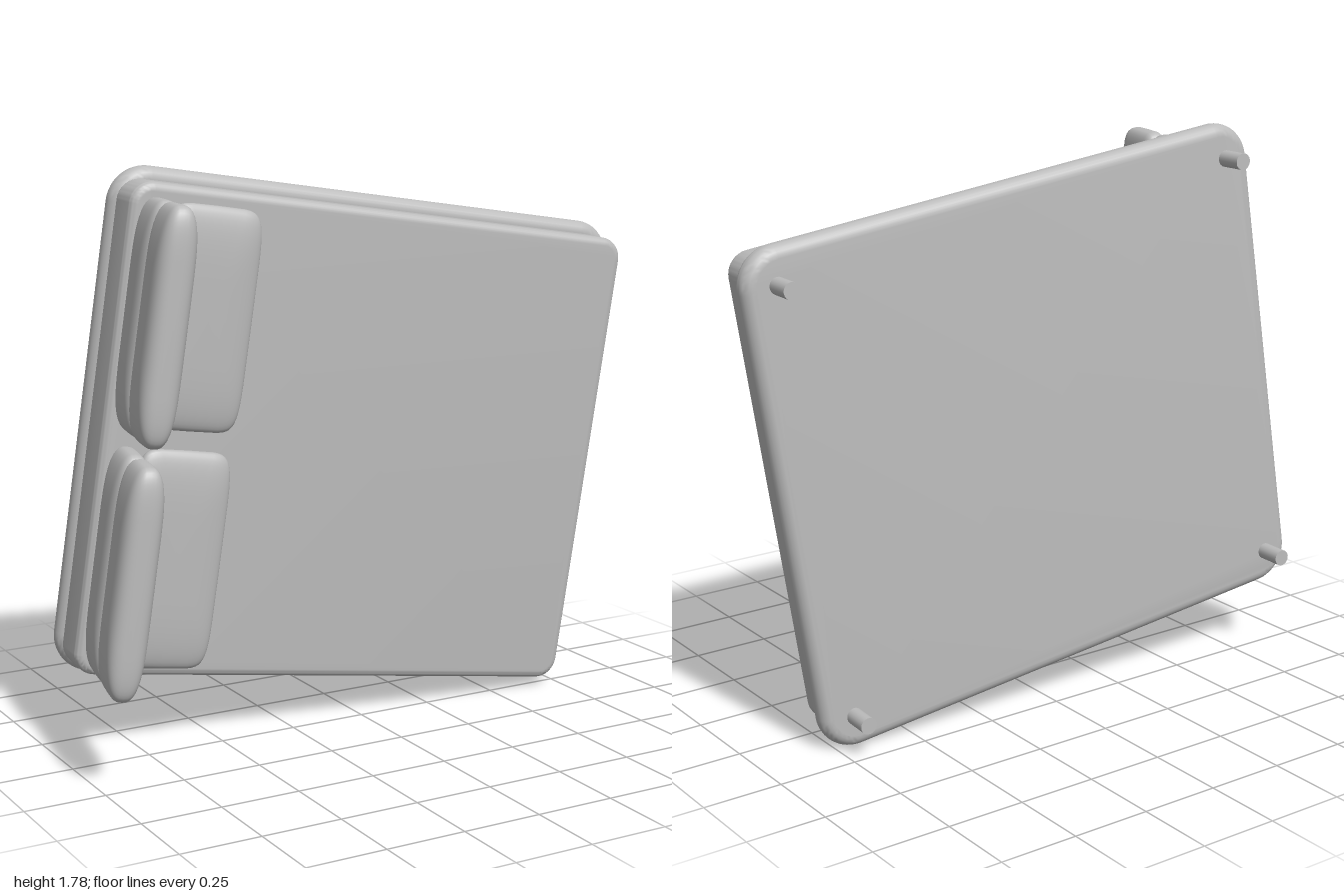
import * as THREE from 'three';
import { mergeVertices, toCreasedNormals } from 'three/addons/utils/BufferGeometryUtils.js';

const grey = new THREE.MeshStandardMaterial({ color: 0xbcbcbc });
grey.name = 'plain grey';

// Rounded rectangle slab from z0 to z1 with round edges
function slab(x0, x1, y0, y1, z0, z1, corner, edge) {
  const a = x0 + edge, b = x1 - edge, c = y0 + edge, d = y1 - edge, r = corner - edge;
  const s = new THREE.Shape();
  s.moveTo(a + r, c);
  s.lineTo(b - r, c);
  s.absarc(b - r, c + r, r, -Math.PI / 2, 0);
  s.absarc(b - r, d - r, r, 0, Math.PI / 2);
  s.absarc(a + r, d - r, r, Math.PI / 2, Math.PI);
  s.absarc(a + r, c + r, r, Math.PI, Math.PI * 1.5);
  let g = new THREE.ExtrudeGeometry(s, {
    depth: z1 - z0 - 2 * edge, bevelThickness: edge, bevelSize: edge,
    bevelSegments: 6, curveSegments: 8,
  });
  g.translate(0, 0, z0 + edge);
  g.deleteAttribute('uv');
  g.deleteAttribute('normal');
  g = mergeVertices(g, 1e-4);
  return toCreasedNormals(g, 0.6);
}

// Soft cushion: a sphere squared off by powers, thin along its own y axis
function cushion(width, thick, length, eThick = 0.5, ePlan = 0.28) {
  const g = new THREE.SphereGeometry(1, 48, 24);
  const p = g.attributes.position;
  const pow = (t, e) => (Math.abs(t) < 1e-6 ? 0 : Math.sign(t) * Math.abs(t) ** e);
  for (let i = 0; i < p.count; i++) {
    const x = p.getX(i), y = p.getY(i), z = p.getZ(i);
    const r = Math.hypot(x, z), k = r < 1e-6 ? 0 : r ** eThick;
    const cx = r < 1e-6 ? 0 : pow(x / r, ePlan), cz = r < 1e-6 ? 0 : pow(z / r, ePlan);
    p.setXYZ(i, cx * k * width / 2, pow(y, 0.75) * thick / 2, cz * k * length / 2);
  }
  g.computeVertexNormals();
  return g;
}

export function createModel() {
  const model = new THREE.Group();
  model.name = 'bed';
  // Bed built with head at -x, width along y, top towards +z, then tilted as a whole
  const add = (name, geometry, x = 0, y = 0, z = 0) => {
    const m = new THREE.Mesh(geometry, grey);
    m.name = name;
    m.position.set(x, y, z);
    model.add(m);
    return m;
  };

  add('bedFrame', slab(-0.867, 0.907, -0.782, 0.786, -0.04, 0.04, 0.12, 0.037));
  add('mattress', slab(-0.855, 0.862, -0.75, 0.746, 0.03, 0.18, 0.07, 0.025));

  // Four short legs
  for (const sx of [-1, 1]) for (const sy of [-1, 1]) {
    const leg = add('leg', new THREE.CylinderGeometry(0.026, 0.026, 0.11, 20),
      0.015 + sx * 0.787, sy * 0.675, -0.075);
    leg.rotation.x = Math.PI / 2;
  }

  // Two sets of one flat pillow and one folded back cushion
  for (const y of [0.36, -0.378]) {
    const flat = add('flatPillow', cushion(0.305, 0.075, 0.68), -0.591, y, 0.198);
    flat.rotation.x = Math.PI / 2;

    const back = new THREE.Group();
    back.name = 'backCushion';
    back.position.set(-0.812, y, 0.375);
    back.rotation.y = -0.14;
    for (const [name, z, depth] of [['frontLobe', 0.095, 0.205], ['rearLobe', -0.1, 0.21]]) {
      const lobe = new THREE.Mesh(cushion(depth, 0.12, 0.69), grey);
      lobe.name = name;
      lobe.position.z = z;
      // thin axis to x, width to z, length to y
      lobe.quaternion.setFromRotationMatrix(new THREE.Matrix4().makeBasis(
        new THREE.Vector3(0, 0, 1), new THREE.Vector3(1, 0, 0), new THREE.Vector3(0, 1, 0)));
      back.add(lobe);
    }
    model.add(back);
  }

  // Tilt of the whole bed
  const u = new THREE.Vector3(0.987, -0.145, 0.0655).normalize();
  const n = new THREE.Vector3().crossVectors(u, new THREE.Vector3(0.147, 0.989, 0.028)).normalize();
  const v = new THREE.Vector3().crossVectors(n, u);
  model.quaternion.setFromRotationMatrix(new THREE.Matrix4().makeBasis(u, v, n));
  model.position.set(0, 0.895, -0.164);

  const root = new THREE.Group();
  root.name = 'tiltedBed';
  root.add(model);
  return root;
}
